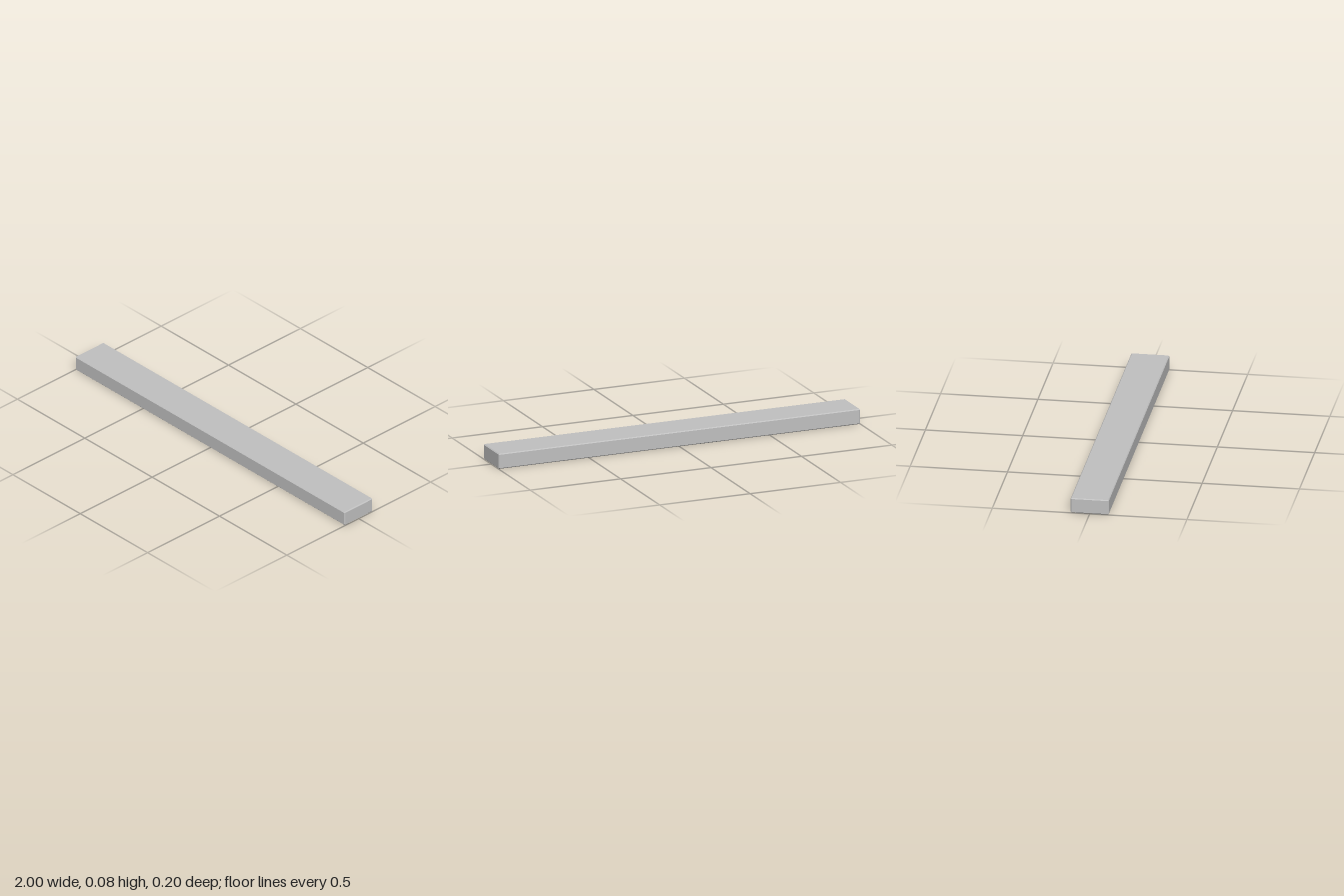
import * as THREE from 'three';

const LENGTH = 2, WIDTH = 0.196, HEIGHT = 0.08;
const BEVEL = 0.0045, WALL = 0.034, CAVITY = 0.055;

// Rectangle outline, inset from the outer size, with cut corners
function outline(y, inset, cut) {
  const x = LENGTH / 2 - inset, z = WIDTH / 2 - inset;
  return [
    [x - cut, z], [x, z - cut], [x, -z + cut], [x - cut, -z],
    [-x + cut, -z], [-x, -z + cut], [-x, z - cut], [-x + cut, z],
  ].map(([px, pz]) => new THREE.Vector3(px, y, pz));
}

// Flat-shaded skin through the outlines, closed at both ends
function loft(rings) {
  const points = [];
  const triangle = (a, b, c) => {
    if (new THREE.Triangle(a, b, c).getArea() > 1e-9) points.push(a, b, c);
  };
  for (let r = 0; r < rings.length - 1; r++) {
    const a = rings[r], b = rings[r + 1];
    for (let i = 0; i < a.length; i++) {
      const j = (i + 1) % a.length;
      triangle(a[i], a[j], b[j]);
      triangle(a[i], b[j], b[i]);
    }
  }
  const first = rings[0], last = rings[rings.length - 1];
  for (let i = 1; i < first.length - 1; i++) {
    triangle(first[0], first[i + 1], first[i]);
    triangle(last[0], last[i], last[i + 1]);
  }
  const geometry = new THREE.BufferGeometry().setFromPoints(points);
  geometry.computeVertexNormals();
  return geometry;
}

export function createModel() {
  const model = new THREE.Group();
  model.name = 'longTile';
  const grey = new THREE.MeshStandardMaterial({ color: 0xc0c0c0 });
  grey.name = 'light grey';

  // Hollow bevelled shell: cavity ceiling, rim, outer walls, top
  const shell = new THREE.Mesh(loft([
    outline(CAVITY, WALL, 0),
    outline(0, WALL, 0),
    outline(0, BEVEL, 0),
    outline(BEVEL, 0, BEVEL),
    outline(HEIGHT - BEVEL, 0, BEVEL),
    outline(HEIGHT, BEVEL, 0),
  ]), grey);
  shell.name = 'shell';
  model.add(shell);

  // Row of round pins inside the cavity
  const pins = new THREE.Group();
  pins.name = 'pins';
  const pinGeometry = new THREE.CylinderGeometry(0.042, 0.042, CAVITY, 12).toNonIndexed();
  pinGeometry.computeVertexNormals();
  for (let i = -4; i <= 4; i++) {
    const pin = new THREE.Mesh(pinGeometry, grey);
    pin.name = 'pin';
    pin.position.set(i * 0.2, CAVITY / 2, 0);
    pins.add(pin);
  }
  model.add(pins);
  return model;
}
